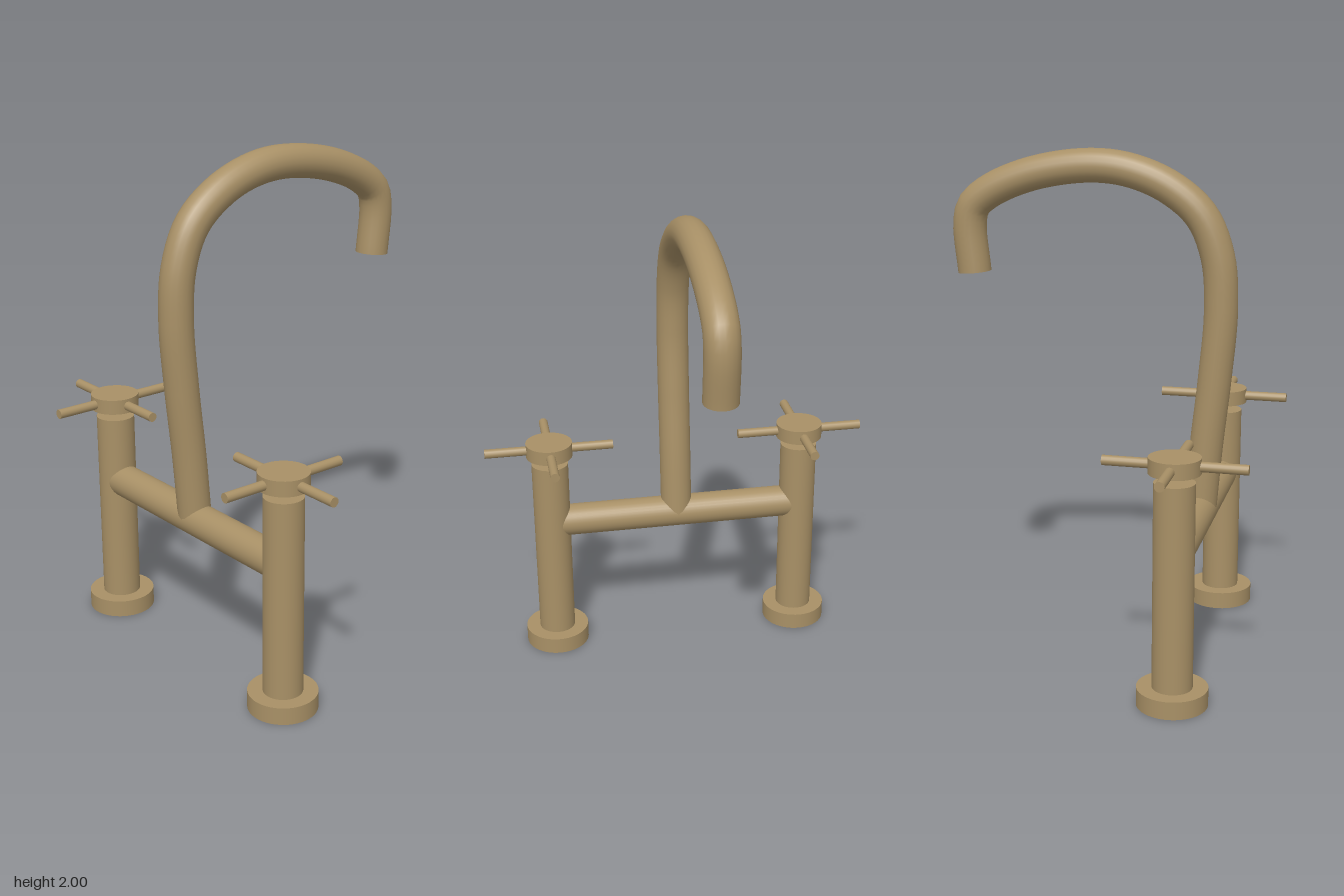
import * as THREE from 'three';

export function createModel() {
  const model = new THREE.Group();
  model.name = 'bridgeTap';
  const brass = new THREE.MeshStandardMaterial({ color: 0xa89066 });
  brass.name = 'brushedBrass';

  const Z = 0.368; // depth of the pillars and the bridge
  const add = (parent, name, geometry, x = 0, y = 0, z = 0) => {
    const mesh = new THREE.Mesh(geometry, brass);
    mesh.name = name;
    mesh.position.set(x, y, z);
    parent.add(mesh);
    return mesh;
  };
  const rod = (r, length, sides = 32) => new THREE.CylinderGeometry(r, r, length, sides);

  // Two pillars, each with a foot flange and a cross handle just above it
  for (const side of [-1, 1]) {
    const pillar = new THREE.Group();
    pillar.name = side > 0 ? 'leftPillar' : 'rightPillar';
    pillar.position.set(side * 0.537, 0, Z);
    model.add(pillar);
    add(pillar, 'footFlange', rod(0.135, 0.07, 48), 0, 0.035);
    add(pillar, 'column', rod(0.077, 0.865), 0, 0.4325);
    add(pillar, 'handleHub', rod(0.097, 0.06, 40), 0, 0.93);
    add(pillar, 'handleBarAcross', rod(0.019, 0.536, 16), 0, 0.93).rotation.z = Math.PI / 2;
    add(pillar, 'handleBarAlong', rod(0.019, 0.536, 16), 0, 0.93).rotation.x = Math.PI / 2;
  }

  // Horizontal bridge, its ends buried in the columns
  add(model, 'bridge', rod(0.067, 1.07), 0, 0.588, Z).rotation.z = Math.PI / 2;

  // Swan-neck spout swept along a curve in the middle plane, as [z, y]
  const path = new THREE.CatmullRomCurve3([
    [0.367, 0.59], [0.389, 0.86], [0.417, 1.13], [0.436, 1.4], [0.42, 1.6],
    [0.355, 1.755], [0.23, 1.86], [0.07, 1.922], [-0.09, 1.936], [-0.315, 1.9],
    [-0.485, 1.83], [-0.555, 1.77], [-0.572, 1.7], [-0.556, 1.51],
  ].map(([z, y]) => new THREE.Vector3(0, y, z)), false, 'centripetal');
  add(model, 'spout', new THREE.TubeGeometry(path, 72, 0.066, 20, false));

  // Open mouth: flat rim, short inner wall and a recessed floor
  const mouth = add(model, 'spoutMouth', new THREE.LatheGeometry(
    [[0.066, 0], [0.045, 0], [0.045, 0], [0.045, -0.03], [0.045, -0.03], [0, -0.03]]
      .map(([r, y]) => new THREE.Vector2(r, y)), 20));
  mouth.position.copy(path.getPoint(1));
  mouth.quaternion.setFromUnitVectors(new THREE.Vector3(0, 1, 0), path.getTangent(1));

  return model;
}
